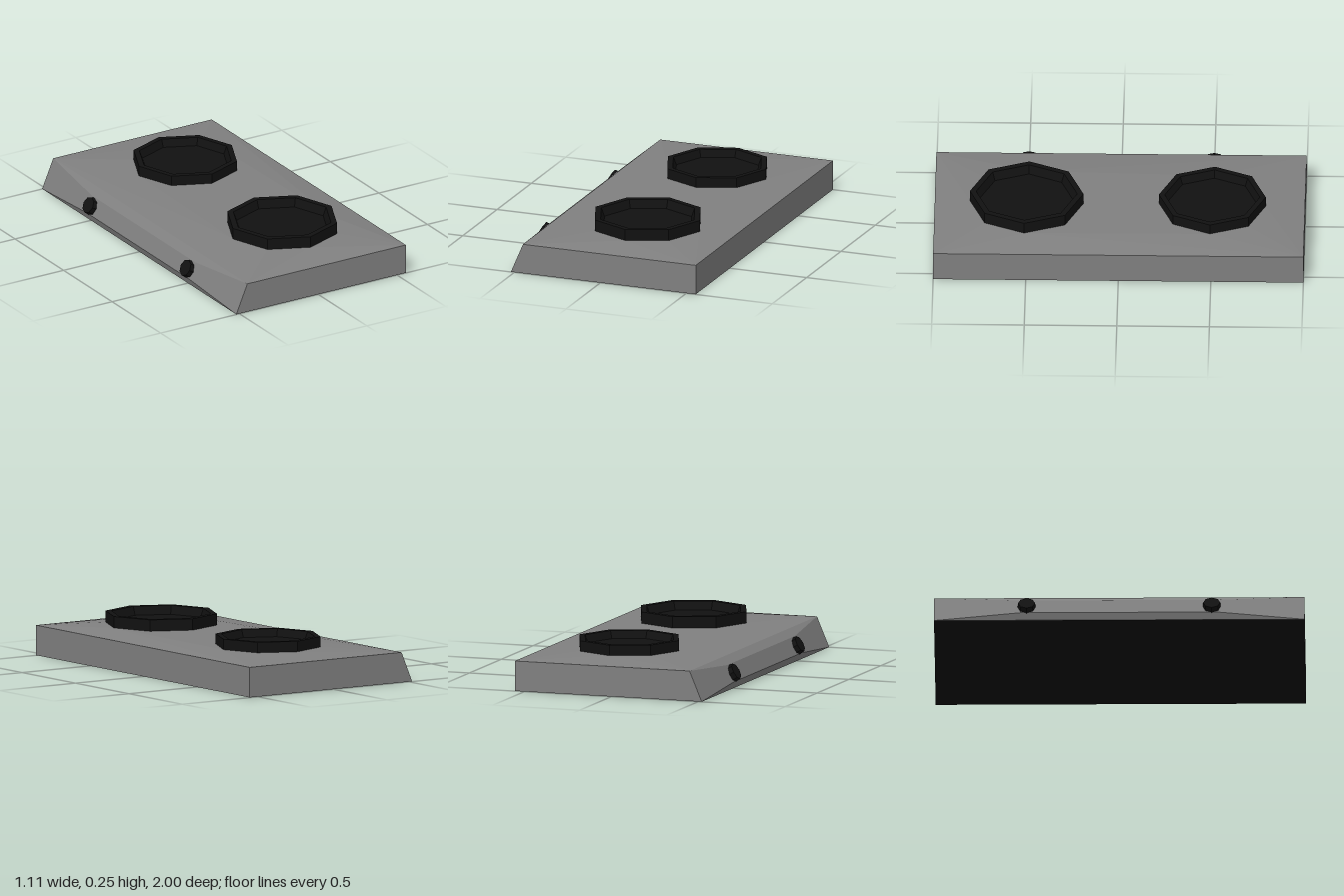
import * as THREE from 'three';
import { ConvexGeometry } from 'three/addons/geometries/ConvexGeometry.js';

const SPIN = 0.03; // slight turn of the octagonal burners

const BURNERS = [
  { name: 'frontBurner', x: 0.077, z: 0.503, r: 0.307, base: 0.192, top: 0.254 },
  { name: 'backBurner', x: 0.08, z: -0.5, r: 0.289, base: 0.188, top: 0.245 },
];
const KNOB_Z = [0.5, -0.5];

export function createModel() {
  const group = new THREE.Group();
  const grey = new THREE.MeshStandardMaterial({ color: 0x808080, flatShading: true });
  const dark = new THREE.MeshStandardMaterial({ color: 0x111111, flatShading: true });

  const add = (name, geometry, material) => {
    const mesh = new THREE.Mesh(geometry, material);
    mesh.name = name;
    group.add(mesh);
    return mesh;
  };

  // Body: slab with a sloped control side, swelling to the burner and knob seats
  const points = [];
  for (const z of [-1, 1]) {
    for (const [x, y] of [[-0.52, 0.001], [0.555, 0.001], [0.555, 0.165], [-0.45, 0.165]]) {
      points.push(new THREE.Vector3(x, y, z));
    }
  }
  for (const b of BURNERS) {
    for (let i = 0; i < 8; i++) {
      const a = i * Math.PI / 4 + SPIN;
      points.push(new THREE.Vector3(b.x + b.r * Math.cos(a), b.base, b.z + b.r * Math.sin(a)));
    }
  }
  for (const z of KNOB_Z) {
    for (const dz of [-0.03, 0.03]) {
      points.push(new THREE.Vector3(-0.533, 0.04, z + dz), new THREE.Vector3(-0.495, 0.13, z + dz));
    }
  }
  add('body', new ConvexGeometry(points), grey);

  // Dark underside
  const underside = add('underside', new THREE.PlaneGeometry(1.075, 2), dark);
  underside.rotation.x = Math.PI / 2;
  underside.position.x = 0.0175;

  // Burners: octagonal rims around a recessed plate
  for (const b of BURNERS) {
    const profile = [
      [b.r, b.base - 0.005], [b.r, b.top], [b.r * 0.89, b.top],
      [b.r * 0.83, b.base + 0.015], [0, b.base + 0.015],
    ].map(([r, y]) => new THREE.Vector2(r, y));
    const burner = add(b.name, new THREE.LatheGeometry(profile, 8), dark);
    burner.position.set(b.x, 0, b.z);
    burner.rotation.y = -SPIN;
  }

  // Knobs, tilted to face out of the sloped side
  const axis = new THREE.Vector3(-0.87, 0.49, 0).normalize();
  KNOB_Z.forEach((z, i) => {
    const knob = add(i ? 'backKnob' : 'frontKnob', new THREE.CylinderGeometry(0.046, 0.05, 0.04, 8), dark);
    knob.quaternion.setFromUnitVectors(new THREE.Vector3(0, 1, 0), axis);
    knob.position.set(-0.519, 0.085, z);
  });

  return group;
}
